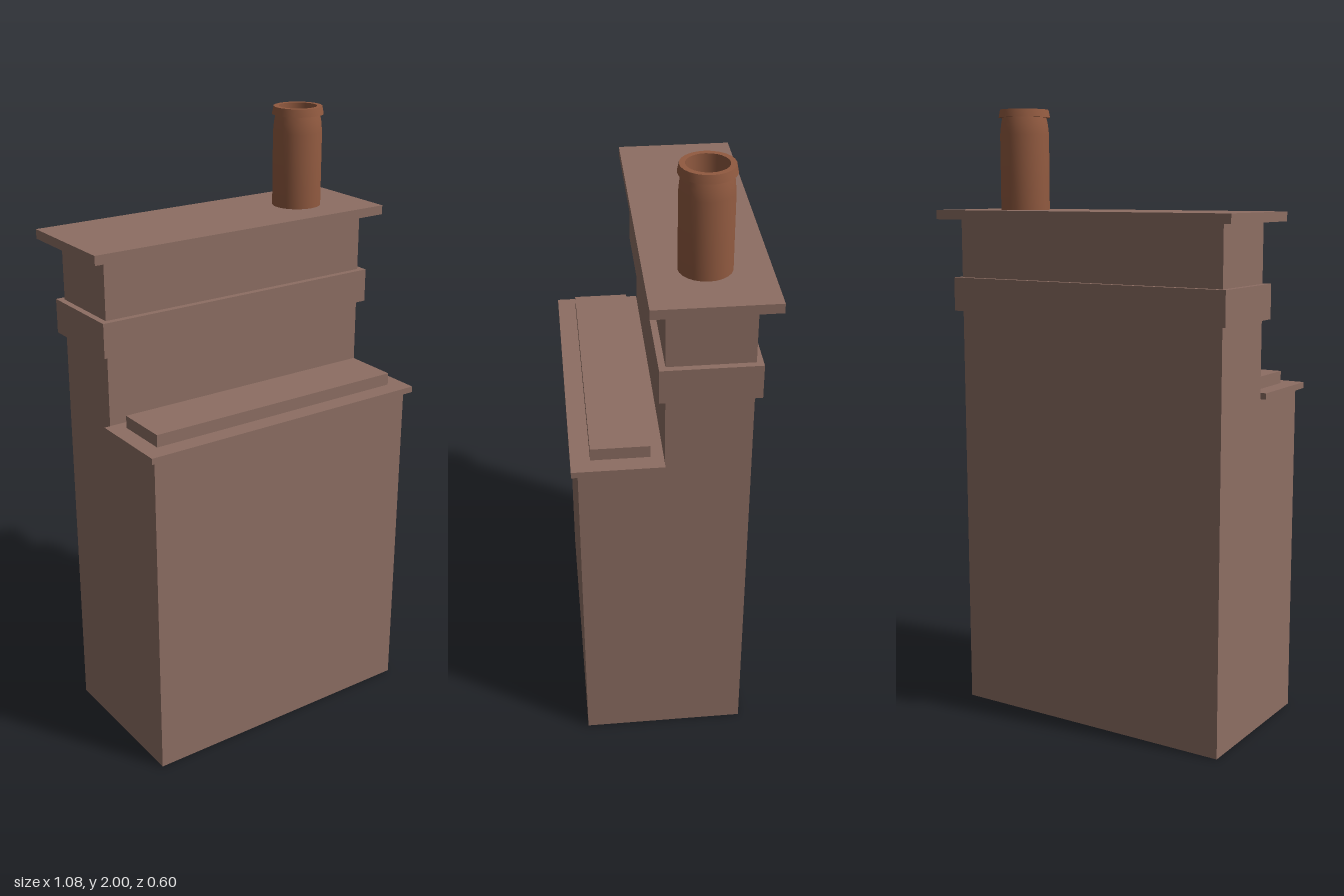
import * as THREE from 'three';
import { toCreasedNormals } from 'three/addons/utils/BufferGeometryUtils.js';

export function createModel() {
  const group = new THREE.Group();
  group.name = 'chimney';
  const stone = new THREE.MeshStandardMaterial({ name: 'brown stone', color: 0x8d6e63 });
  const clay = new THREE.MeshStandardMaterial({ name: 'terracotta', color: 0x915a40 });

  const add = (name, geometry, material) => {
    const mesh = new THREE.Mesh(geometry, material);
    mesh.name = name;
    group.add(mesh);
    return mesh;
  };

  // Slab centred on x, given by its half width and its y and z ranges
  const slab = (name, halfWidth, y0, y1, z0, z1) => {
    const mesh = add(name, new THREE.BoxGeometry(halfWidth * 2, y1 - y0, z1 - z0), stone);
    mesh.position.set(0, (y0 + y1) / 2, (z0 + z1) / 2);
  };

  // Stepped stack: side profile (-z, y) extruded across the width
  const halfWidth = 0.485;
  const profile = new THREE.Shape(
    [[-0.28, 0], [0.24, 0], [0.24, 1.65], [-0.02, 1.65], [-0.02, 1.1], [-0.28, 1.1]]
      .map(([x, y]) => new THREE.Vector2(x, y)));
  const body = new THREE.ExtrudeGeometry(profile, { depth: halfWidth * 2, bevelEnabled: false });
  body.translate(0, 0, -halfWidth).rotateY(Math.PI / 2);
  add('stack', body, stone);

  // Projecting courses
  slab('frontLedge', 0.505, 1.1, 1.12, 0.02, 0.3);
  slab('ledgeStep', 0.45, 1.12, 1.16, 0.06, 0.24);
  slab('band', 0.505, 1.35, 1.46, -0.26, 0.04);
  slab('capSlab', 0.54, 1.65, 1.68, -0.3, 0.07);

  // Hollow chimney pot with a necked top and flared rim
  const potProfile = [
    [0.08, 1.68], [0.08, 1.92], [0.077, 1.95], [0.072, 1.975],
    [0.084, 1.975], [0.079, 2], [0.062, 2], [0.062, 1.75], [0, 1.75],
  ].map(([r, y]) => new THREE.Vector2(r, y));
  const pot = add('chimneyPot', toCreasedNormals(new THREE.LatheGeometry(potProfile, 24), 0.6), clay);
  pot.position.set(0.32, 0, -0.11);

  return group;
}
